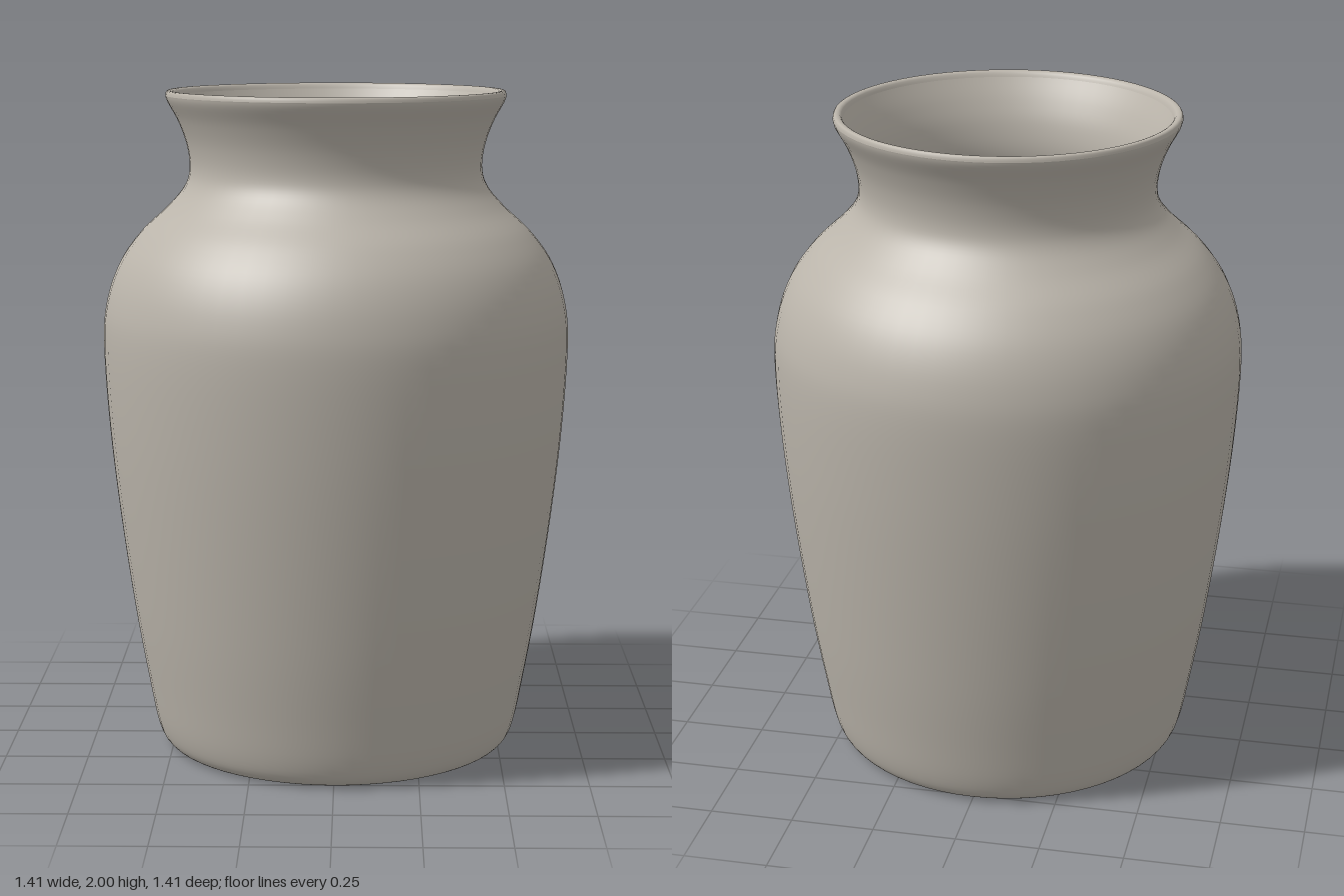
import * as THREE from 'three';

const SIDES = 64;

// Smooth curve through a few [radius, height] points
function smooth(points, steps) {
  return new THREE.SplineCurve(points.map(([r, y]) => new THREE.Vector2(r, y))).getPoints(steps);
}

export function createModel() {
  const group = new THREE.Group();
  group.name = 'vase';
  const clay = new THREE.MeshStandardMaterial({ color: 0xbab4aa });
  clay.name = 'warm grey clay';

  const turn = (name, points) => {
    const mesh = new THREE.Mesh(new THREE.LatheGeometry(points, SIDES), clay);
    mesh.name = name;
    group.add(mesh);
  };

  // Outer wall: rounded foot, tapered body, shoulder, neck and flared lip
  const outer = smooth([
    [0.43, 0.005], [0.49, 0], [0.53, 0.015], [0.556, 0.07], [0.582, 0.2], [0.62, 0.42],
    [0.661, 0.72], [0.69, 1.0], [0.703, 1.25], [0.69, 1.38], [0.65, 1.49], [0.585, 1.58],
    [0.505, 1.655], [0.455, 1.715], [0.439, 1.77], [0.447, 1.84], [0.472, 1.91], [0.502, 1.965], [0.509, 1.985],
  ], 96);
  turn('outerWall', outer);

  // Thin rounded rim
  turn('rim', smooth([[0.509, 1.985], [0.506, 1.997], [0.497, 2], [0.486, 1.996], [0.479, 1.982]], 10));

  // Inner wall, down to the floor
  turn('innerWall', smooth([
    [0.479, 1.982], [0.446, 1.92], [0.42, 1.85], [0.41, 1.77], [0.425, 1.705], [0.48, 1.635],
    [0.56, 1.56], [0.622, 1.475], [0.66, 1.37], [0.672, 1.25], [0.66, 1.0], [0.631, 0.72],
    [0.59, 0.42], [0.552, 0.2], [0.525, 0.09], [0.48, 0.055], [0.42, 0.05],
  ], 80));
  turn('innerFloor', [new THREE.Vector2(0.42, 0.05), new THREE.Vector2(0, 0.05)]);

  // Underside: foot ring sloping in to a shallow recess
  turn('footRing', smooth([[0.35, 0.025], [0.37, 0.018], [0.4, 0.009], [0.43, 0.005]], 8));
  turn('underside', [new THREE.Vector2(0, 0.025), new THREE.Vector2(0.35, 0.025)]);

  return group;
}
